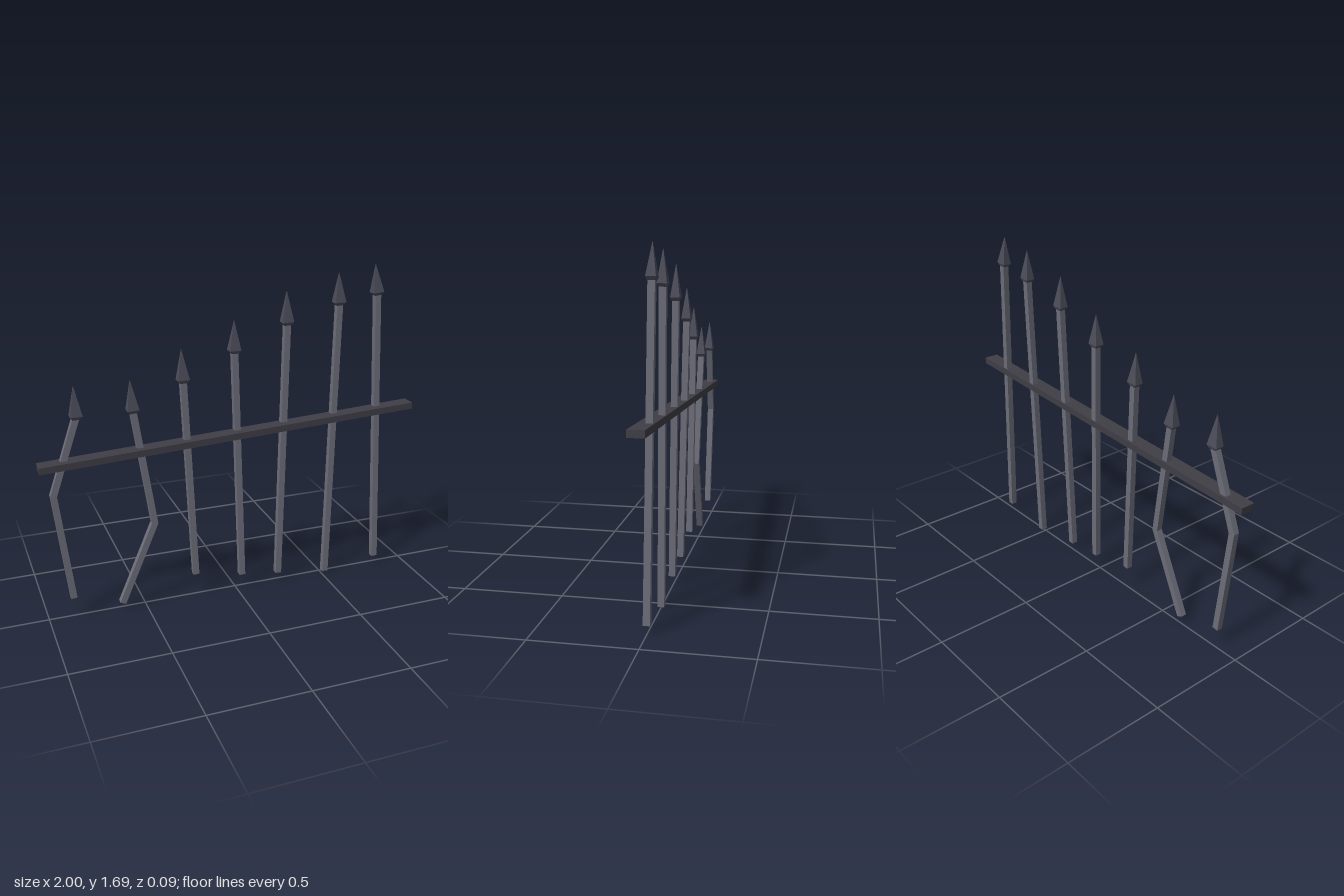
import * as THREE from 'three';

const material = (name, color) => {
  const m = new THREE.MeshStandardMaterial({ color, flatShading: true });
  m.name = name;
  return m;
};

// Rectangular loft along a path; each ring is [x, y, z, halfWidth, halfDepth],
// mitred where the path bends.
function loft(rings) {
  const unit = (a, b) => new THREE.Vector2(b[0] - a[0], b[1] - a[1]).normalize();
  const pos = [], index = [];
  const last = rings.length - 1;
  rings.forEach(([x, y, z, w, d], i) => {
    const before = unit(rings[Math.max(i - 1, 0)], rings[Math.max(i, 1)]);
    const after = unit(rings[Math.min(i, last - 1)], rings[Math.min(i + 1, last)]);
    const dir = before.clone().add(after).normalize();
    const half = w / dir.dot(after);
    for (const [s, t] of [[1, 1], [1, -1], [-1, -1], [-1, 1]]) {
      pos.push(x + s * half * dir.y, y - s * half * dir.x, z + t * d);
    }
  });
  for (let i = 0; i < last; i++) {
    for (let k = 0; k < 4; k++) {
      const a = i * 4 + k, b = i * 4 + (k + 1) % 4;
      index.push(a, b, b + 4, a, b + 4, a + 4);
    }
  }
  const e = last * 4;
  index.push(0, 2, 1, 0, 3, 2, e, e + 1, e + 2, e, e + 2, e + 3);
  const g = new THREE.BufferGeometry();
  g.setAttribute('position', new THREE.Float32BufferAttribute(pos, 3));
  g.setIndex(index);
  const flat = g.toNonIndexed();
  flat.computeVertexNormals();
  return flat;
}

export function createModel() {
  const group = new THREE.Group();
  group.name = 'brokenFence';
  const postIron = material('post iron', 0x6c6d79);
  const tipIron = material('spearhead iron', 0x4b4c58);
  const railIron = material('rail iron', 0x3f3e46);

  const add = (name, geometry, mat) => {
    const mesh = new THREE.Mesh(geometry, mat);
    mesh.name = name;
    group.add(mesh);
    return mesh;
  };

  // Leaning cross rail
  const tilt = Math.atan2(0.102, 2);
  const rail = add('rail', new THREE.BoxGeometry(2.0, 0.034, 0.078), railIron);
  rail.position.set(0, 0.876, 0.006);
  rail.rotation.z = tilt;

  // Posts: path points from foot to head, then the spearhead apex
  const posts = [
    { path: [[-0.87, 0.11, 0.006], [-0.935, 0.674, 0], [-0.8, 1.06, -0.01]], apex: [-0.804, 1.212] },
    { path: [[-0.623, 0.035, 0.014], [-0.437, 0.455, 0.004], [-0.524, 1.06, -0.008]], apex: [-0.532, 1.212] },
    { path: [[-0.222, 0.123, 0.004], [-0.267, 1.185, -0.009]], apex: [-0.273, 1.34] },
    { path: [[0.037, 0.072, 0.004], [0.005, 1.305, -0.022]], apex: [0.004, 1.456] },
    { path: [[0.246, 0.045, 0.006], [0.286, 1.425, -0.022]], apex: [0.281, 1.582] },
    { path: [[0.53, 0.001, 0.002], [0.57, 1.505, -0.02]], apex: [0.564, 1.656] },
    { path: [[0.837, 0.04, 0.002], [0.783, 1.542, -0.018]], apex: [0.767, 1.687] },
  ];
  posts.forEach(({ path, apex }, i) => {
    add(`post${i + 1}`, loft(path.map((p) => [...p, 0.016, 0.016])), postIron);

    // Four-sided spearhead with a short bevel underneath
    const [x, y, z] = path[path.length - 1];
    const at = (t, w, d) => [x + (apex[0] - x) * t, y + (apex[1] - y) * t, z, w, d];
    add(`spearhead${i + 1}`, loft([at(-0.08, 0.019, 0.017), at(0.02, 0.03, 0.023), at(1, 0.001, 0.001)]), tipIron);
  });
  return group;
}
